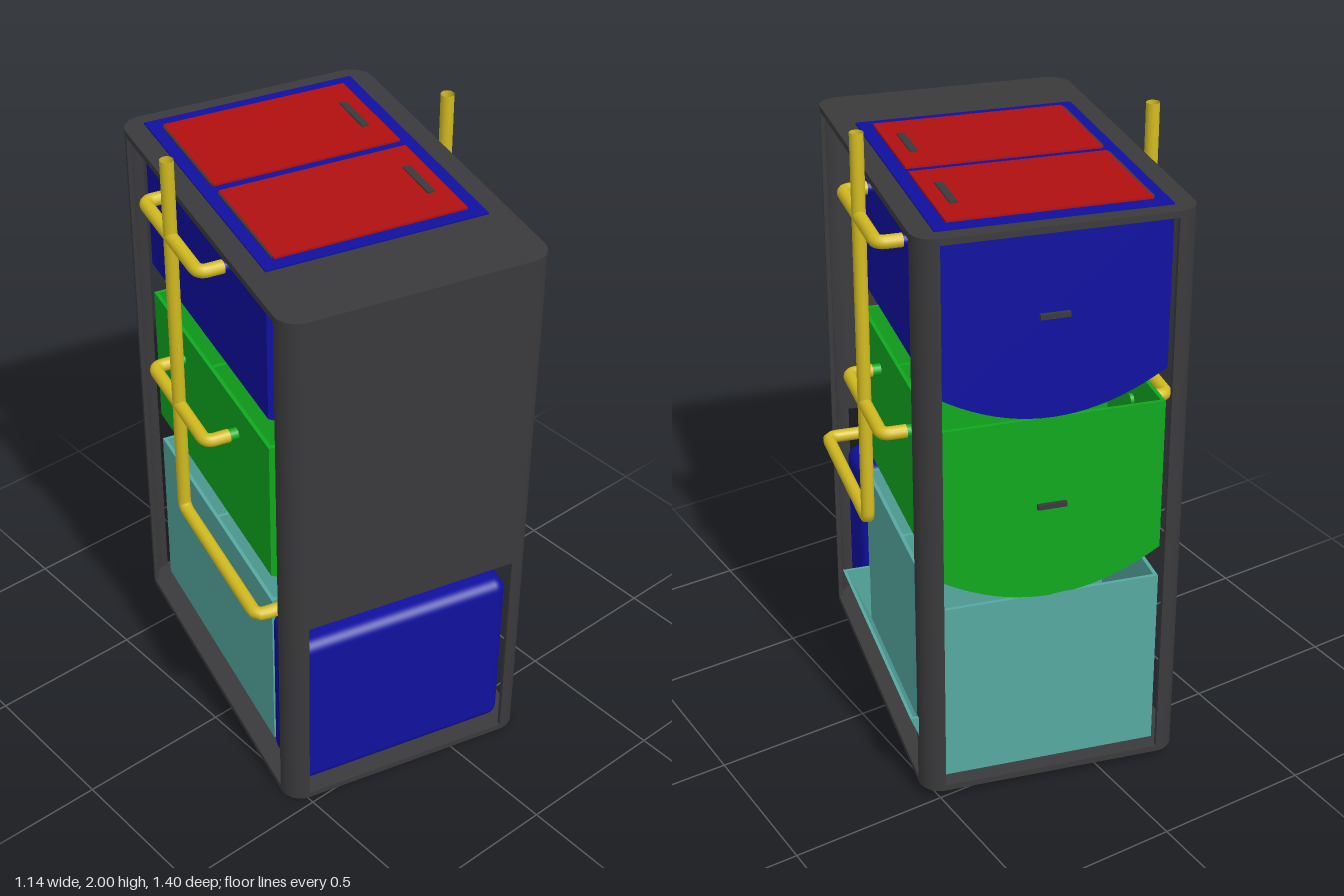
import * as THREE from 'three';
import { RoundedBoxGeometry } from 'three/addons/geometries/RoundedBoxGeometry.js';

const mat = (color) => new THREE.MeshStandardMaterial({ color, side: THREE.DoubleSide });
const W = 0.415, D = 0.608, R = 0.07, H = 1.84; // half width, half depth, corner radius, height
const BW = 0.348, BACK = -0.557, FRONT = 0.342, MID = -0.107; // bin half width, ends and middle

// Shape in x/y, extruded along z from z0 to z1
function extrudeZ(shape, z0, z1) {
  return new THREE.ExtrudeGeometry(shape, { depth: z1 - z0, bevelEnabled: false, curveSegments: 20 }).translate(0, 0, z0);
}
// Shape in plan, extruded upwards from y0 to y1
function extrudeY(shape, y0, y1) {
  return extrudeZ(shape, y0, y1).rotateX(-Math.PI / 2);
}
function box(x0, x1, y0, y1, z0, z1) {
  return new THREE.BoxGeometry(x1 - x0, y1 - y0, z1 - z0)
    .translate((x0 + x1) / 2, (y0 + y1) / 2, (z0 + z1) / 2);
}
function polygon(points) {
  return new THREE.Shape(points.map(([x, y]) => new THREE.Vector2(x, y)));
}
function plateShape() {
  const a = W - R, b = D - R, s = new THREE.Shape();
  s.absarc(a, b, R, 0, Math.PI / 2);
  s.absarc(-a, b, R, Math.PI / 2, Math.PI);
  s.absarc(-a, -b, R, Math.PI, Math.PI * 1.5);
  s.absarc(a, -b, R, Math.PI * 1.5, Math.PI * 2);
  s.closePath();
  return s;
}
// Bin cross-section with a sagging floor
function binShape(top, side, sag) {
  const s = new THREE.Shape();
  s.moveTo(-BW, top);
  s.lineTo(-BW, side);
  s.quadraticCurveTo(0, side - 2 * sag, BW, side);
  s.lineTo(BW, top);
  s.closePath();
  return s;
}
// Thin wall of an open bin, without the ends
function troughShape(top, side, sag, t) {
  const s = new THREE.Shape();
  s.moveTo(-BW, top);
  s.lineTo(-BW, side);
  s.quadraticCurveTo(0, side - 2 * sag, BW, side);
  s.lineTo(BW, top);
  s.lineTo(BW - t, top);
  s.lineTo(BW - t, side + t);
  s.quadraticCurveTo(0, side + t - 2 * sag, -BW + t, side + t);
  s.lineTo(-BW + t, top);
  s.closePath();
  return s;
}
// Pipe along straight runs with rounded elbows
function pipe(points, radius = 0.021) {
  const p = points.map((a) => new THREE.Vector3(...a));
  const path = new THREE.CurvePath();
  let from = p[0];
  for (let i = 1; i < p.length - 1; i++) {
    const a = p[i].clone().add(p[i - 1].clone().sub(p[i]).setLength(0.03));
    const b = p[i].clone().add(p[i + 1].clone().sub(p[i]).setLength(0.03));
    path.add(new THREE.LineCurve3(from, a));
    path.add(new THREE.QuadraticBezierCurve3(a, p[i], b));
    from = b;
  }
  path.add(new THREE.LineCurve3(from, p[p.length - 1]));
  return new THREE.TubeGeometry(path, 120, radius, 14);
}

export function createModel() {
  const dark = mat(0x3a3a3c), blue = mat(0x1010a0), red = mat(0xb01010);
  const green = mat(0x10a81e), teal = mat(0x55a8a0), yellow = mat(0xd2bb20);
  const unit = new THREE.Group();
  unit.name = 'composter';
  const add = (name, geometry, material) => {
    const mesh = new THREE.Mesh(geometry, material);
    mesh.name = name;
    unit.add(mesh);
    return mesh;
  };

  // Frame: base, top and four curved corner posts
  add('basePlate', extrudeY(plateShape(), 0, 0.02), dark);
  add('topPlate', extrudeY(plateShape(), H - 0.02, H), dark);
  for (let i = 0; i < 4; i++) {
    const a0 = (i * Math.PI) / 2, a1 = a0 + Math.PI / 2;
    const cx = (i === 0 || i === 3 ? 1 : -1) * (W - R), cy = (i < 2 ? 1 : -1) * (D - R);
    const s = new THREE.Shape();
    s.absarc(cx, cy, R, a0, a1, false);
    s.absarc(cx, cy, R - 0.014, a1, a0, true);
    s.closePath();
    add('cornerPost', extrudeY(s, 0.02, H - 0.02), dark);
  }
  add('frontPanel', box(-W + R, W - R, 0.73, H - 0.02, D - 0.014, D), dark);

  // Upper bin with two lids
  add('upperBin', extrudeZ(binShape(H + 0.005, 1.335, 0.11), BACK, FRONT), blue);
  for (const z of [-0.318, 0.106]) {
    add('lid', box(-0.303, 0.303, H, H + 0.012, z - 0.194, z + 0.194), red);
    add('lidHinge', box(-0.309, -0.303, H, H + 0.011, z - 0.185, z + 0.185), dark);
    add('lidHandle', box(0.234, 0.258, H, H + 0.016, z - 0.08, z + 0.08), dark);
  }

  // Open bins below, each with ends and a divider
  const openBin = (name, material, top, side, sag) => {
    add(name, extrudeZ(troughShape(top, side, sag, 0.012), BACK, FRONT), material);
    for (const z of [BACK, MID, FRONT - 0.012]) {
      add(name + 'Wall', extrudeZ(binShape(top, side, sag), z, z + 0.012), material);
    }
  };
  openBin('middleBin', green, 1.225, 0.73, 0.11);
  openBin('lowerBin', teal, 0.625, 0.021, 0);
  for (const y of [1.55, 0.935]) {
    add('rearHandle', box(-0.045, 0.045, y - 0.008, y + 0.008, BACK - 0.012, BACK), dark);
  }

  // Flared chute along the left side of the lower bin
  const flare = polygon([[BW, 0.021], [0.44, 0.25], [0.43, 0.25], [BW, 0.045]]);
  add('chuteFront', extrudeZ(flare, BACK + 0.005, FRONT), teal);
  const cheek = polygon([[BW, 0.021], [0.44, 0.25], [BW, 0.25]]);
  for (const z of [BACK + 0.005, FRONT - 0.01]) {
    add('chuteEnd', extrudeZ(cheek, z, z + 0.01), teal);
  }

  // Water tank with neck
  const tank = new RoundedBoxGeometry(0.73, 0.592, 0.205, 5, 0.04);
  add('waterTank', tank.translate(0, 0.317, 0.465), blue);
  add('tankNeck', new THREE.CylinderGeometry(0.025, 0.025, 0.06, 20).translate(0, 0.63, 0.46), blue);

  // Control boxes behind the front panel
  for (const y of [1.55, 0.935]) {
    add('controlBox', box(0.12, 0.28, y - 0.075, y + 0.075, 0.38, 0.48), dark);
    add('controlBoxMount', box(0.14, 0.26, y - 0.055, y + 0.055, FRONT, 0.38), dark);
  }

  // Pipes on both sides, joined over the tank
  for (const s of [1, -1]) {
    const x = s * 0.45;
    add('riserPipe', pipe([[x, 1.98, MID], [x, 0.705, MID], [x, 0.705, 0.46], [0, 0.705, 0.46]]), yellow);
    for (const [y, material] of [[1.725, blue], [1.115, green]]) {
      const z0 = MID - 0.21, z1 = MID + 0.21;
      add('branchPipe', pipe([[s * 0.375, y, z0], [x, y, z0], [x, y, z1], [s * 0.375, y, z1]]), yellow);
      for (const z of [z0, z1]) {
        const stub = new THREE.CylinderGeometry(0.019, 0.019, 0.06, 16).rotateZ(Math.PI / 2);
        add('binPort', stub.translate(s * 0.355, y, z), material);
      }
    }
  }
  add('tankPipe', pipe([[0, 0.65, 0.46], [0, 0.705, 0.46]]), yellow);

  // The whole unit stands turned and slightly leaning
  unit.rotation.set(0.024, -0.263, 0.009, 'YXZ');
  unit.position.set(-0.002, 0.018, -0.02);
  const model = new THREE.Group();
  model.name = 'composterModel';
  model.add(unit);
  return model;
}
